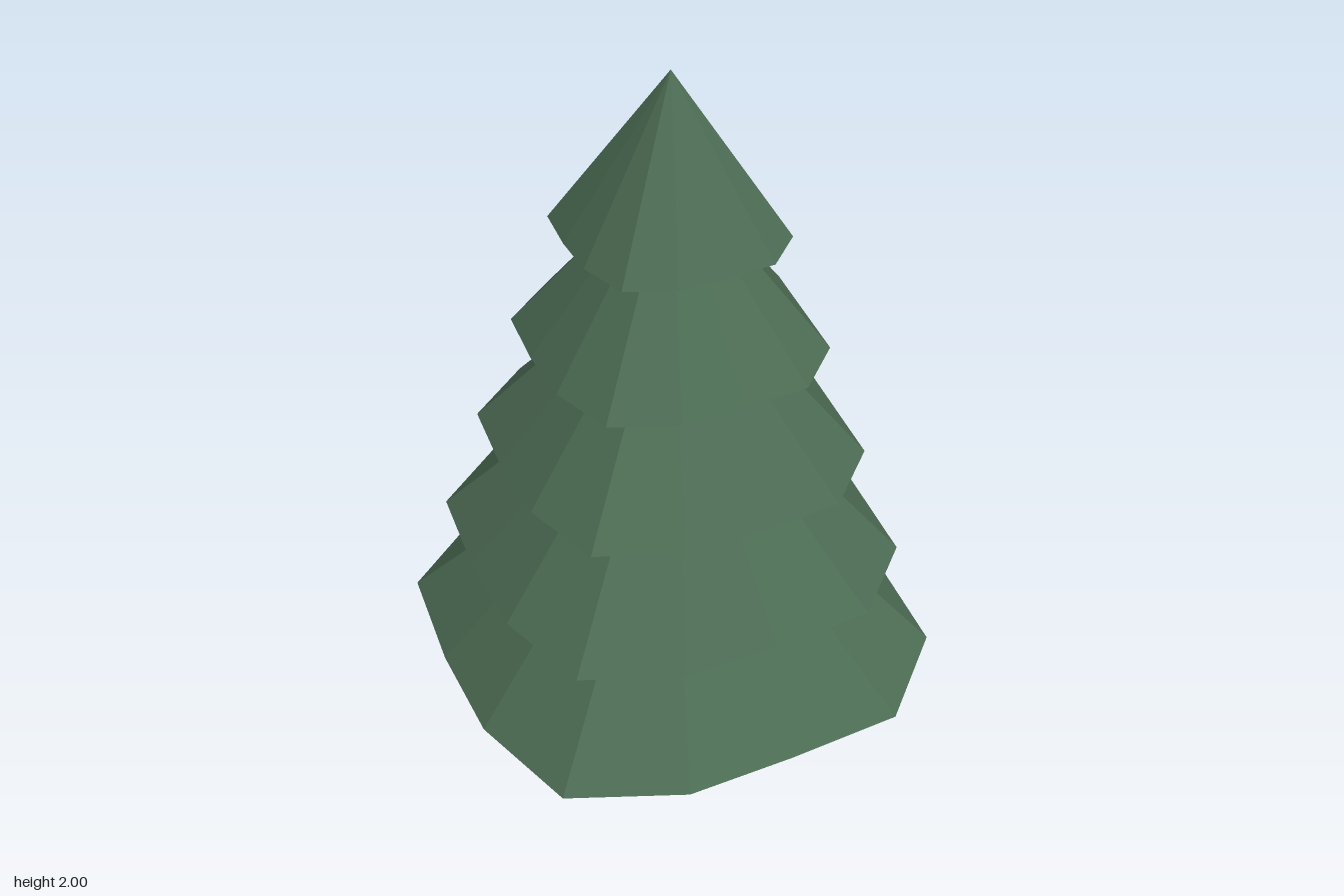
import * as THREE from 'three';

// Uneven rim radii of the widest tier, in equal angular steps; first and last differ at the seam
const RIM = [0.81, 0.745, 0.845, 0.85, 0.75, 0.80, 0.875, 0.79, 0.765, 0.87, 0.84, 0.755, 0.825, 0.865, 0.77];
const TIERS = 5;
const BRANCHES = 8;

// Open faceted cone with an irregular rim
function foliageGeometry(scale, height) {
  const steps = RIM.length - 1;
  const point = (i) => {
    const a = (i / steps) * Math.PI * 2;
    return [Math.cos(a) * RIM[i] * scale, 0, Math.sin(a) * RIM[i] * scale];
  };
  const positions = [];
  for (let i = 0; i < steps; i++) {
    positions.push(0, height, 0, ...point(i + 1), ...point(i));
  }
  const geometry = new THREE.BufferGeometry();
  geometry.setAttribute('position', new THREE.Float32BufferAttribute(positions, 3));
  geometry.computeVertexNormals();
  return geometry;
}

// Thin spike lying along +x from the trunk axis
function branchGeometry(length, radius) {
  const geometry = new THREE.ConeGeometry(radius, length, 4);
  geometry.rotateZ(-Math.PI / 2);
  geometry.translate(length / 2, radius, 0);
  return geometry;
}

export function createModel() {
  const model = new THREE.Group();
  model.name = 'firTree';
  const green = new THREE.MeshStandardMaterial({ color: 0x4c6b53, flatShading: true, side: THREE.DoubleSide });
  green.name = 'fir green';

  for (let t = 0; t < TIERS; t++) {
    const scale = 1 - t * 0.146;
    const tier = new THREE.Group();
    tier.name = 'tier' + (t + 1);
    tier.position.set(-0.01, t * 0.375, -0.01);

    // Foliage skirt
    const foliage = new THREE.Mesh(foliageGeometry(scale, (10 - t) / 12), green);
    foliage.name = 'foliage';
    tier.add(foliage);

    // Star of branches under the skirt
    const spike = branchGeometry(0.56 * scale, 0.02 * scale);
    for (let i = 0; i < BRANCHES; i++) {
      const branch = new THREE.Mesh(spike, green);
      branch.name = 'branch';
      branch.rotation.y = (i / BRANCHES) * Math.PI * 2;
      tier.add(branch);
    }
    model.add(tier);
  }
  return model;
}
